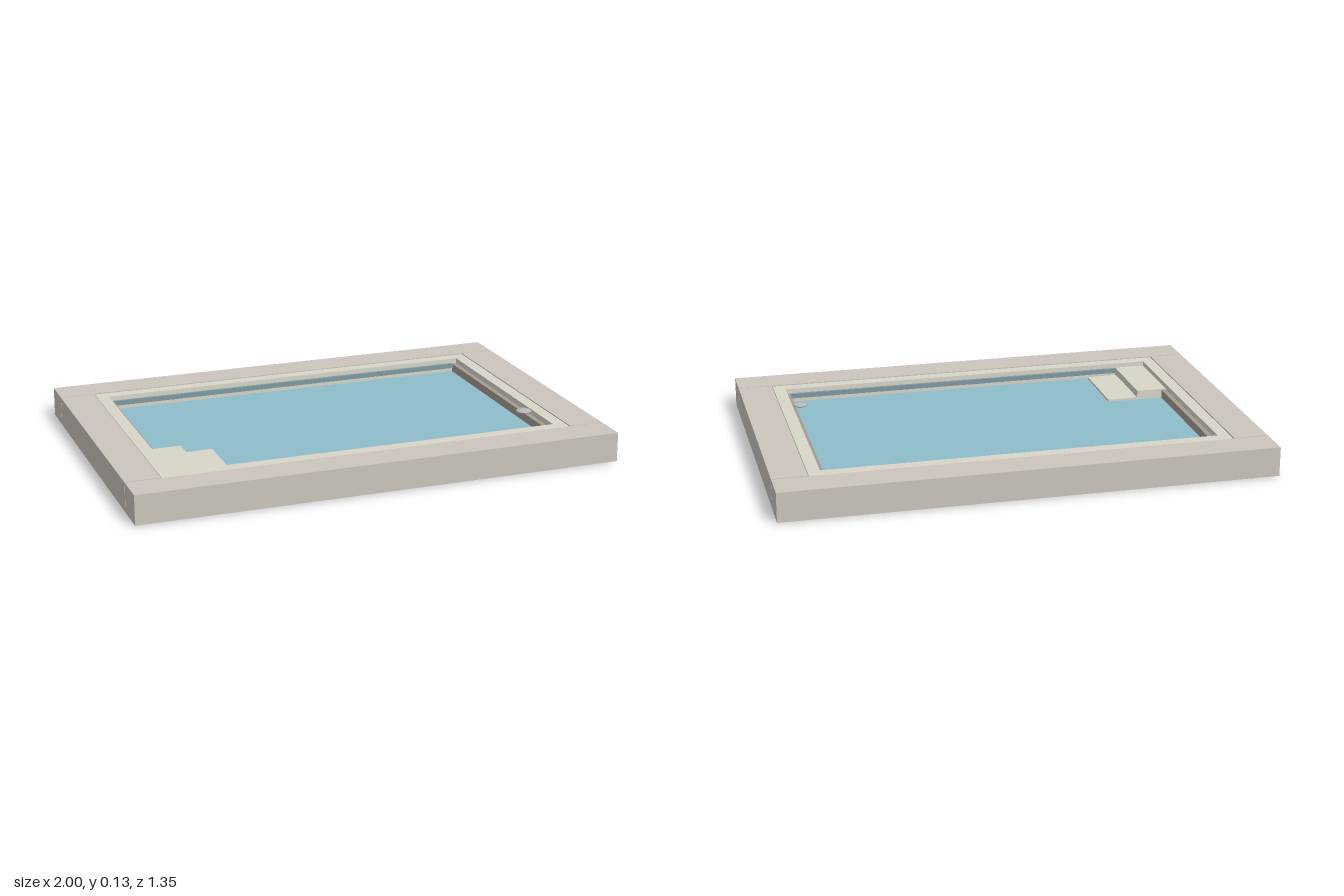
import * as THREE from 'three';

const mat = (color) => new THREE.MeshStandardMaterial({ color });

export function createModel() {
  const model = new THREE.Group();
  const deckMat = mat(0xcbc5bc), stoneMat = mat(0xd8d5c8), liningMat = mat(0xa39c90);
  const tileMat = mat(0x7f9aa3), waterMat = mat(0x8ebccb), metalMat = mat(0xb4b6b8);

  // Box given by its min and max corners
  const box = (name, material, [x0, y0, z0], [x1, y1, z1]) => {
    const mesh = new THREE.Mesh(new THREE.BoxGeometry(x1 - x0, y1 - y0, z1 - z0), material);
    mesh.position.set((x0 + x1) / 2, (y0 + y1) / 2, (z0 + z1) / 2);
    mesh.name = name;
    model.add(mesh);
  };

  // Rectangular ring lying flat, from y0 to y1
  const ring = (name, material, ox, oz, ix, iz, y0, y1) => {
    const rect = (P, x, z) => new P([[-x, -z], [x, -z], [x, z], [-x, z]].map((p) => new THREE.Vector2(...p)));
    const shape = rect(THREE.Shape, ox, oz);
    shape.holes.push(rect(THREE.Path, ix, iz));
    const geo = new THREE.ExtrudeGeometry(shape, { depth: y1 - y0, bevelEnabled: false });
    geo.rotateX(-Math.PI / 2).translate(0, y0, 0);
    const mesh = new THREE.Mesh(geo, material);
    mesh.name = name;
    model.add(mesh);
  };

  // Basin: floor slab, walls, coping and water
  box('basinFloor', stoneMat, [-0.855, 0, -0.535], [0.855, 0.02, 0.535]);
  ring('basinWalls', stoneMat, 0.853, 0.533, 0.805, 0.485, 0.02, 0.11);
  ring('coping', stoneMat, 0.855, 0.535, 0.805, 0.485, 0.11, 0.123);
  box('water', waterMat, [-0.804, 0.02, -0.484], [0.804, 0.065, 0.484]);

  for (const s of [-1, 1]) {
    const span = (a, b) => [Math.min(s * a, s * b), Math.max(s * a, s * b)];
    // Surrounding deck slabs
    const [dz0, dz1] = span(0.54, 0.677), [dx0, dx1] = span(0.858, 1);
    box('longDeckSlab', deckMat, [-1, 0.004, dz0], [1, 0.125, dz1]);
    box('shortDeckSlab', deckMat, [dx0, 0.004, -0.536], [dx1, 0.125, 0.536]);
    // End wall lining and tile bands along the long walls
    const [lx0, lx1] = span(0.785, 0.806), [tz0, tz1] = span(0.473, 0.486);
    box('endLining', liningMat, [lx0, 0.02, -0.484], [lx1, 0.1, 0.484]);
    box('tileBand', tileMat, [-0.785, 0.083, tz0], [0.785, 0.103, tz1]);
  }

  // Entry steps in the corner
  box('upperStep', stoneMat, [-0.805, 0.001, 0.16], [-0.675, 0.104, 0.484]);
  box('lowerStep', stoneMat, [-0.675, 0.001, 0.16], [-0.545, 0.074, 0.472]);

  // Small domed fitting at the far end
  const fitting = new THREE.Mesh(new THREE.SphereGeometry(0.032, 24, 12), metalMat);
  fitting.scale.y = 0.25;
  fitting.position.set(0.77, 0.121, 0.285);
  fitting.name = 'domedFitting';
  model.add(fitting);

  return model;
}
